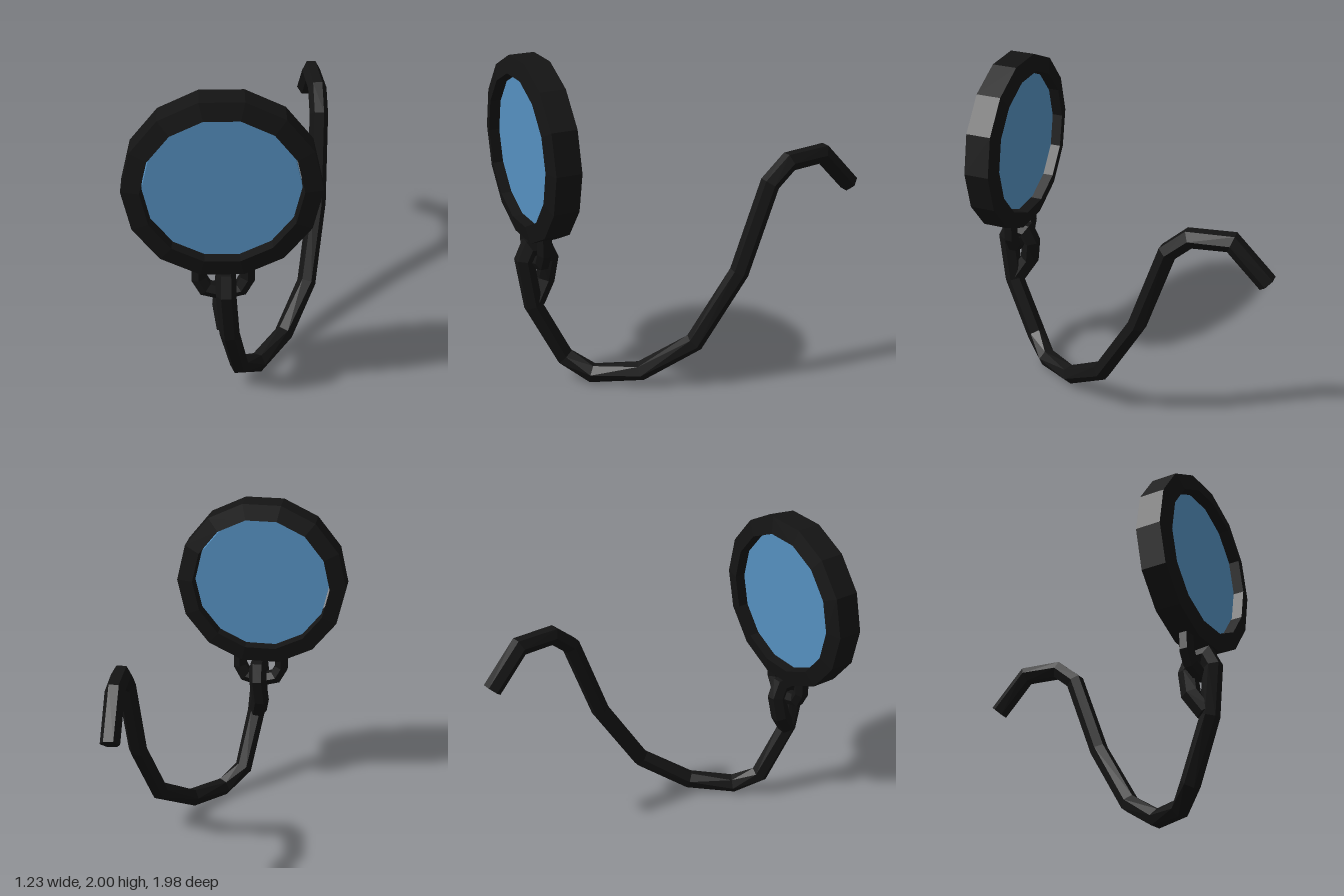
import * as THREE from 'three';

const black = new THREE.MeshStandardMaterial({ color: 0x141414, flatShading: true });
const blue = new THREE.MeshStandardMaterial({ color: 0x5590c0, flatShading: true });

// Six-sided cord with mitred bends and flat ends; ref fixes the direction of one corner
function cord(name, path, radius, ref, sides = 6) {
  const pts = path.map((p) => new THREE.Vector3(...p));
  const n = pts.length;
  const dirs = pts.slice(1).map((p, i) => p.clone().sub(pts[i]).normalize());
  const pos = [];
  const index = [];
  pts.forEach((p, i) => {
    const a = dirs[Math.max(i - 1, 0)];
    const b = dirs[Math.min(i, n - 2)];
    const t = a.clone().add(b).normalize();
    const side = ref.clone().addScaledVector(t, -ref.dot(t)).normalize();
    const up = t.clone().cross(side);
    const miter = 1 / Math.max(t.dot(a), 0.7);
    for (let j = 0; j < sides; j++) {
      const ang = (j / sides) * Math.PI * 2;
      const v = p.clone()
        .addScaledVector(side, radius * Math.cos(ang))
        .addScaledVector(up, radius * miter * Math.sin(ang));
      pos.push(v.x, v.y, v.z);
      if (i < n - 1) {
        const k = (j + 1) % sides;
        const r0 = i * sides;
        const r1 = r0 + sides;
        index.push(r0 + j, r0 + k, r1 + j, r0 + k, r1 + k, r1 + j);
      }
    }
  });
  // end caps
  const last = (n - 1) * sides;
  for (let j = 1; j < sides - 1; j++) {
    index.push(0, j + 1, j, last, last + j, last + j + 1);
  }
  const geo = new THREE.BufferGeometry();
  geo.setAttribute('position', new THREE.Float32BufferAttribute(pos, 3));
  geo.setIndex(index);
  geo.computeVertexNormals();
  const mesh = new THREE.Mesh(geo, black);
  mesh.name = name;
  return mesh;
}

export function createModel() {
  const model = new THREE.Group();
  model.name = 'monocle';

  // Fourteen-sided rim, tapering towards its outer edge
  const eyepiece = new THREE.Group();
  eyepiece.name = 'eyepiece';
  eyepiece.position.set(-0.07, 1.465, 0.862);
  const profile = [[0.447, -0.1], [0.55, -0.077], [0.55, 0.077], [0.447, 0.1], [0.447, -0.1]]
    .map(([r, y]) => new THREE.Vector2(r, y));
  const rim = new THREE.Mesh(
    new THREE.LatheGeometry(profile, 14, Math.PI / 2).rotateX(Math.PI / 2), black);
  rim.name = 'rim';

  // Glass, with a hairline gap to the rim
  const lens = new THREE.Mesh(
    new THREE.CylinderGeometry(0.436, 0.436, 0.08, 14, 1, false, Math.PI / 2).rotateX(Math.PI / 2), blue);
  lens.name = 'lens';
  eyepiece.add(rim, lens);
  model.add(eyepiece);

  // Half ring hanging below the rim
  const half = [[0.138, 0.98], [0.138, 0.86], [0.1, 0.79]];
  const ringPath = [
    ...half.map(([x, y]) => [-0.065 - x, y, 0.862]),
    [-0.065, 0.762, 0.862],
    ...half.reverse().map(([x, y]) => [-0.065 + x, y, 0.862]),
  ];
  model.add(cord('hangingRing', ringPath, 0.047, new THREE.Vector3(0, 0, 1)));

  // Cord: knotted tail, loop through the ring, then the long sweep to the hooked end
  const cordPath = [
    [-0.045, 0.52, 0.885], [-0.07, 0.64, 0.81], [-0.055, 0.78, 0.788],
    [-0.05, 0.853, 0.82], [-0.05, 0.862, 0.91], [-0.05, 0.79, 0.945],
    [-0.03, 0.5, 0.905], [0.03, 0.15, 0.735], [0.145, 0.06, 0.605],
    [0.315, 0.095, 0.36], [0.47, 0.29, 0.08], [0.54, 0.72, -0.18],
    [0.552, 1.25, -0.37], [0.548, 1.365, -0.5], [0.525, 1.375, -0.74],
    [0.51, 1.15, -0.95],
  ];
  model.add(cord('cord', cordPath, 0.058, new THREE.Vector3(1, 0, 0)));

  return model;
}
